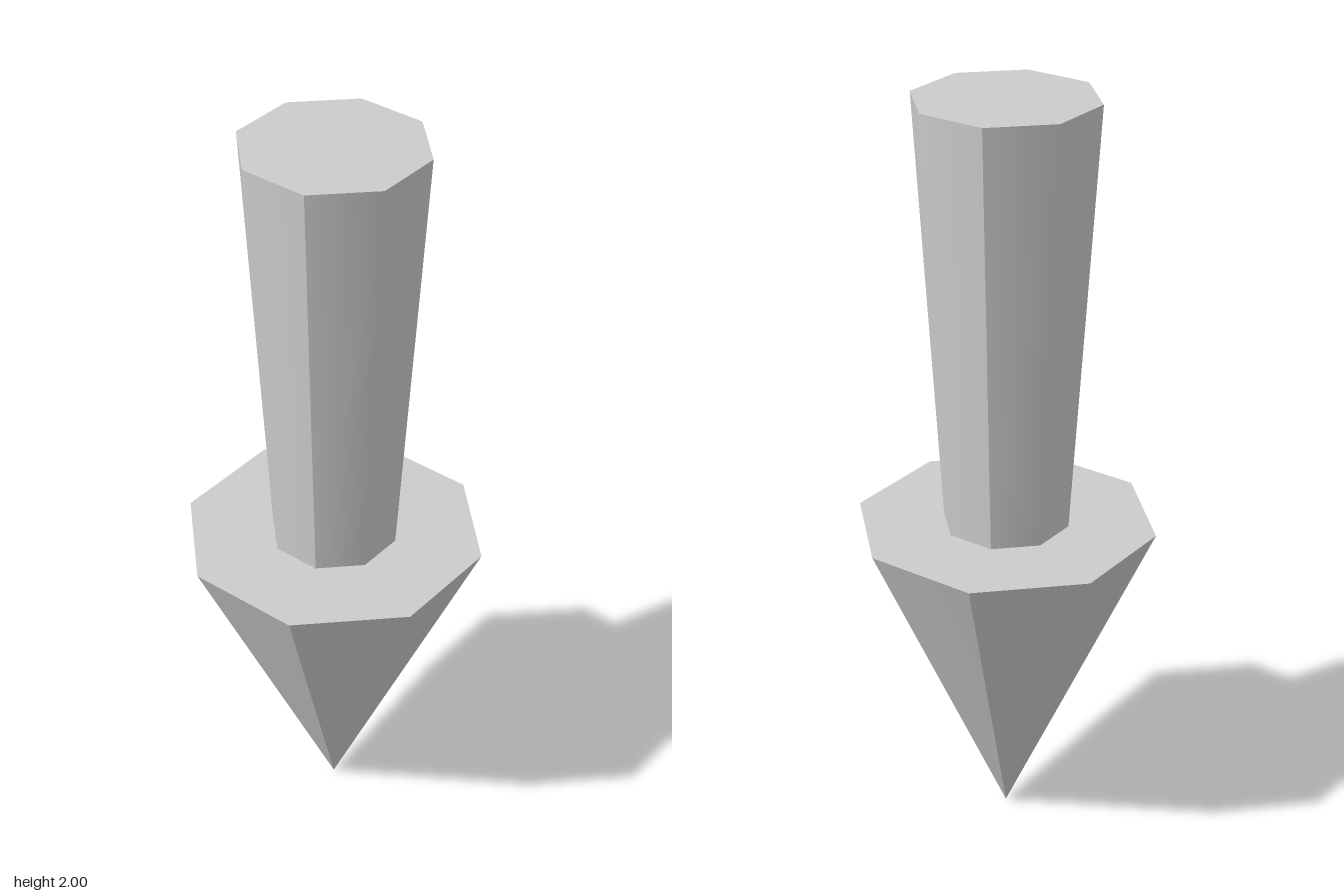
import * as THREE from 'three';
import { mergeVertices, mergeGeometries } from 'three/addons/utils/BufferGeometryUtils.js';

const SIDES = 8;
const HEAD_HEIGHT = 0.875;
const HEAD_RADIUS = 0.393;
const SHAFT_BASE = 0.165;
const SHAFT_TOP = 0.235;

// One quarter of a tapered octagonal wall: two faces, blended or faceted
function quarterWall(topRadius, bottomRadius, y0, y1, quarter, faceted) {
  const source = new THREE.CylinderGeometry(
    topRadius, bottomRadius, y1 - y0, SIDES / 4, 1, true, quarter * Math.PI / 2, Math.PI / 2);
  source.translate(0, (y0 + y1) / 2, 0);
  source.deleteAttribute('normal');
  source.deleteAttribute('uv');
  let wall = source.toNonIndexed();
  if (!faceted) wall = mergeVertices(wall, 1e-4);
  wall.computeVertexNormals();
  return wall.index ? wall.toNonIndexed() : wall;
}

// Full wall, hard between quarters
function wall(topRadius, bottomRadius, y0, y1, facetedQuarter = -1) {
  const quarters = [0, 1, 2, 3].map((q) =>
    quarterWall(topRadius, bottomRadius, y0, y1, q, q === facetedQuarter));
  return mergeGeometries(quarters);
}

export function createModel() {
  const model = new THREE.Group();
  model.name = 'downArrow';
  const grey = new THREE.MeshStandardMaterial({ color: 0xcccccc });
  grey.name = 'light grey';

  function add(name, geometry) {
    const mesh = new THREE.Mesh(geometry, grey);
    mesh.name = name;
    model.add(mesh);
  }

  // Arrow head: inverted pyramid with a flat shoulder
  add('arrowHead', wall(HEAD_RADIUS, 0, 0, HEAD_HEIGHT, 3));
  add('headShoulder', new THREE.RingGeometry(SHAFT_BASE, HEAD_RADIUS, SIDES)
    .rotateX(-Math.PI / 2).translate(0, HEAD_HEIGHT, 0));

  // Shaft: widens upwards and ends in a flat cap
  add('shaft', wall(SHAFT_TOP, SHAFT_BASE, HEAD_HEIGHT, 2));
  add('shaftCap', new THREE.CircleGeometry(SHAFT_TOP, SIDES)
    .rotateX(-Math.PI / 2).translate(0, 2, 0));

  return model;
}
